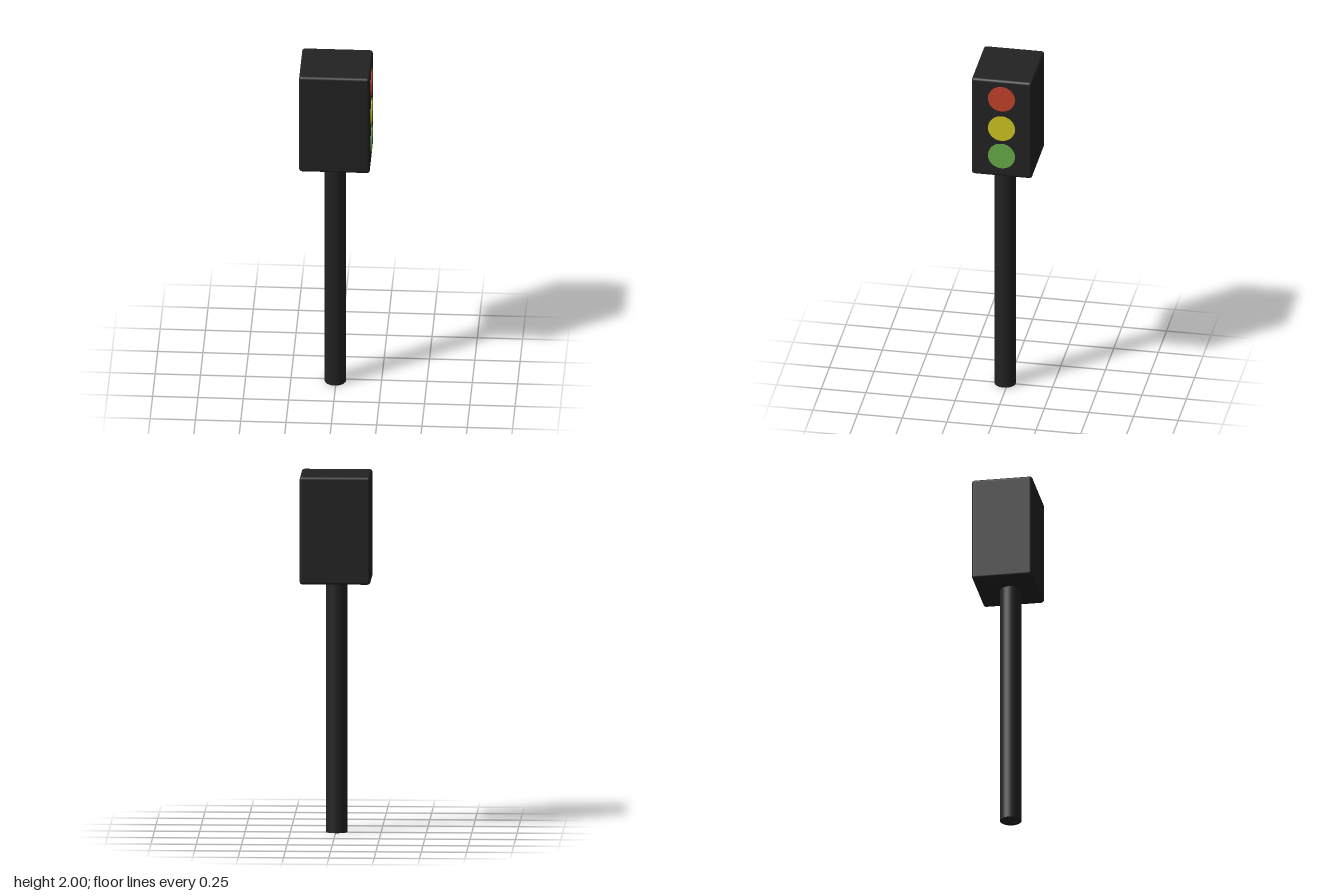
import * as THREE from 'three';
import { RoundedBoxGeometry } from 'three/addons/geometries/RoundedBoxGeometry.js';

const paint = (name, color) => {
  const material = new THREE.MeshStandardMaterial({ color });
  material.name = name;
  return material;
};

export function createModel() {
  const group = new THREE.Group();
  group.name = 'trafficLight';
  const black = paint('black', 0x232323);

  const add = (name, geometry, material, x, y, z) => {
    const mesh = new THREE.Mesh(geometry, material);
    mesh.name = name;
    mesh.position.set(x, y, z);
    group.add(mesh);
    return mesh;
  };

  // Housing with softly rounded edges
  add('housing', new RoundedBoxGeometry(0.39, 0.6, 0.338, 3, 0.016), black, -0.002, 1.7, 0);

  // Pole, set slightly off the housing's centre
  add('pole', new THREE.CylinderGeometry(0.059, 0.059, 1.41, 32), black, -0.005, 0.705, 0.016);

  // Three thin lamp discs on the +x side
  const lamps = [
    ['redLamp', paint('red', 0xc7432b), 1.886],
    ['yellowLamp', paint('yellow', 0xd2c822), 1.702],
    ['greenLamp', paint('green', 0x6aae48), 1.53],
  ];
  const disc = new THREE.CylinderGeometry(0.076, 0.076, 0.008, 32).rotateZ(-Math.PI / 2);
  for (const [name, material, y] of lamps) add(name, disc, material, 0.193, y, 0);

  return group;
}
